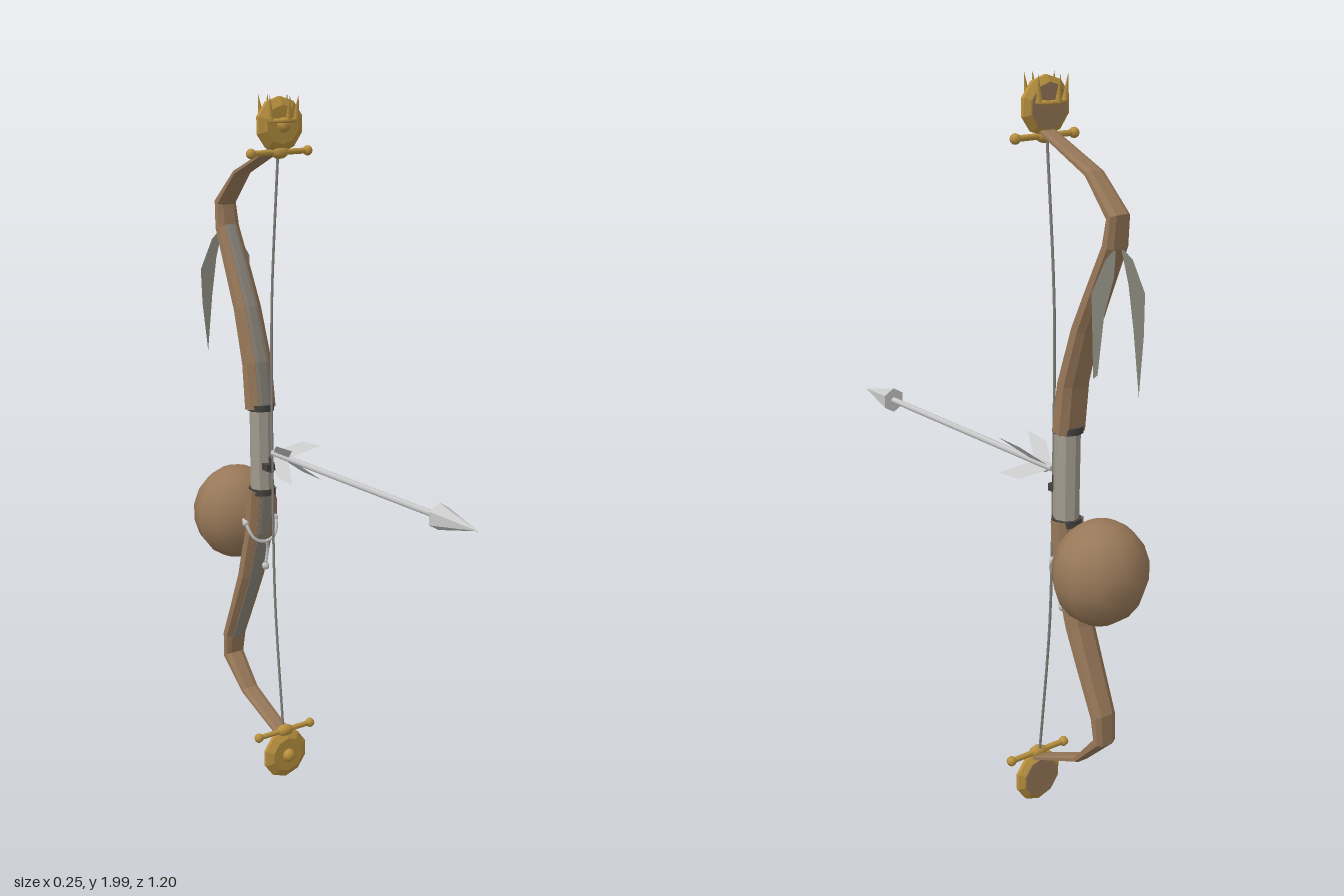
import * as THREE from 'three';

const mat = (name, color) => Object.assign(new THREE.MeshStandardMaterial({ color }), { name });

// Limb stations: y, z, half width, half thickness
const LIMB = [
  [1.12, -0.342, 0.043, 0.028], [1.25, -0.357, 0.042, 0.025], [1.4, -0.402, 0.039, 0.022],
  [1.5, -0.446, 0.037, 0.02], [1.62, -0.5, 0.034, 0.018], [1.69, -0.508, 0.031, 0.016],
  [1.78, -0.42, 0.027, 0.009], [1.86, -0.24, 0.024, 0.006],
];
const mirrorY = (s) => s.map(([y, ...r]) => [2 - y, ...r]).reverse();

// Loft of eight-sided sections along a path in the yz plane, running upward
function loft(stations, widthScale = 1, plate = 0) {
  const ring = [[1, 0.5], [1, -0.5], [0.55, -1], [-0.55, -1], [-1, -0.5], [-1, 0.5], [-0.55, 1], [0.55, 1]];
  const n = ring.length, last = stations.length - 1, pos = [], idx = [];
  stations.forEach(([y, z, w, t], i) => {
    const p = stations[Math.max(0, i - 1)], q = stations[Math.min(last, i + 1)];
    const len = Math.hypot(q[0] - p[0], q[1] - p[1]);
    const ny = -(q[1] - p[1]) / len, nz = (q[0] - p[0]) / len;
    for (const [u, v] of ring) {
      const d = plate ? t + v * plate : v * t;
      pos.push(u * w * widthScale, y + ny * d, z + nz * d);
    }
    if (i === last) return;
    for (let j = 0; j < n; j++) {
      const a = i * n + j, b = i * n + (j + 1) % n;
      idx.push(a, b, b + n, a, b + n, a + n);
    }
  });
  for (let j = 1; j < n - 1; j++) idx.push(0, j + 1, j, last * n, last * n + j, last * n + j + 1);
  const g = new THREE.BufferGeometry();
  g.setAttribute('position', new THREE.Float32BufferAttribute(pos, 3));
  g.setIndex(idx);
  return facet(g);
}

function facet(geometry) {
  const flat = geometry.toNonIndexed();
  flat.computeVertexNormals();
  return flat;
}

const path = (pts) => new THREE.CatmullRomCurve3(pts.map((p) => new THREE.Vector3(...p)));

// Thin flat outline
const blade = (points) => new THREE.ShapeGeometry(new THREE.Shape(points.map((p) => new THREE.Vector2(...p))));

export function createModel() {
  const model = new THREE.Group();
  model.name = 'ornateBow';
  const wood = mat('wood', 0x987859), gold = mat('gold', 0xb9913f), steel = mat('steel', 0xc8c8c8);
  const gripGrey = mat('gripGrey', 0xa39b8e), dark = mat('darkBinding', 0x45423f);
  const inlay = mat('inlay', 0x8a847a), feather = mat('feather', 0xa19f93), cordGrey = mat('stringGrey', 0x85837f);
  feather.side = steel.side = THREE.DoubleSide;

  const add = (name, geo, material, x = 0, y = 0, z = 0, parent = model) => {
    const m = new THREE.Mesh(geo, material);
    m.name = name;
    m.position.set(x, y, z);
    parent.add(m);
    return m;
  };

  // Limbs with a strip let into the front
  add('upperLimb', loft(LIMB), wood);
  add('lowerLimb', loft(mirrorY(LIMB)), wood);
  const strip = LIMB.slice(0, 5);
  add('upperInlay', loft(strip, 0.5, 0.004), inlay);
  add('lowerInlay', loft(mirrorY(strip), 0.5, 0.004), inlay);

  // Grip and its end bindings
  add('grip', facet(new THREE.CylinderGeometry(0.034, 0.034, 0.25, 8)), gripGrey, 0, 1, -0.338);
  for (const y of [0.875, 1.125]) add('gripBinding', new THREE.CylinderGeometry(0.04, 0.04, 0.018, 10), dark, 0, y, -0.34);

  // Bowstring
  add('bowstring', new THREE.TubeGeometry(path([[0, 0.14, -0.24], [0, 0.55, -0.277], [0, 0.8, -0.283],
    [0, 1, -0.284], [0, 1.2, -0.283], [0, 1.45, -0.277], [0, 1.86, -0.24]]), 24, 0.004, 5), cordGrey);
  add('stringServing', new THREE.CylinderGeometry(0.007, 0.007, 0.045, 6), dark, 0, 0.962, -0.29);
  add('arrowRest', new THREE.BoxGeometry(0.035, 0.02, 0.03), dark, 0, 0.955, -0.3);

  // Gold end ornaments: domed disc with a wooden back, boss, crossbar with knobs
  for (const s of [-1, 1]) {
    const end = new THREE.Group();
    end.name = s > 0 ? 'topOrnament' : 'bottomOrnament';
    end.position.set(0, 1 + s * 0.92, -0.234);
    model.add(end);
    add('disc', facet(new THREE.CylinderGeometry(0.052, 0.074, 0.013, 10)), gold, 0, 0, 0.0115, end).rotation.x = Math.PI / 2;
    add('discRim', facet(new THREE.CylinderGeometry(0.074, 0.074, 0.01, 10)), gold, 0, 0, 0, end).rotation.x = Math.PI / 2;
    add('discBack', facet(new THREE.CylinderGeometry(0.074, 0.058, 0.011, 10)), gold, 0, 0, -0.0105, end).rotation.x = Math.PI / 2;
    add('discBackPlate', new THREE.CylinderGeometry(0.057, 0.057, 0.004, 10), wood, 0, 0, -0.0165, end).rotation.x = Math.PI / 2;
    add('boss', new THREE.SphereGeometry(0.02, 8, 6), gold, 0, 0, 0.02, end);
    const bar = add('crossbar', new THREE.CylinderGeometry(0.008, 0.008, 0.18, 8), gold, 0, -s * 0.073, 0, end);
    bar.rotation.z = Math.PI / 2;
    add('crossbarCollar', new THREE.SphereGeometry(0.018, 8, 6), gold, 0, -s * 0.073, 0, end).scale.x = 1.6;
    for (const x of [-0.092, 0.092]) add('knob', new THREE.SphereGeometry(0.014, 8, 6), gold, x, -s * 0.073, 0, end);
  }

  // Crown around the top disc
  const crown = new THREE.Group();
  crown.name = 'crown';
  crown.position.set(0, 1.932, -0.237);
  model.add(crown);
  add('crownBand', new THREE.TorusGeometry(0.046, 0.006, 5, 12), gold, 0, 0, 0, crown).rotation.x = Math.PI / 2;
  for (let i = 0; i < 6; i++) {
    const a = (i / 6) * Math.PI * 2;
    const spike = add('crownSpike', new THREE.ConeGeometry(0.009, 0.068, 5), gold,
      Math.sin(a) * 0.05, 0.034, Math.cos(a) * 0.05, crown);
    spike.rotation.set(Math.cos(a) * 0.12, 0, -Math.sin(a) * 0.12);
  }

  // Arrow with four swept vanes
  const arrow = new THREE.Group();
  arrow.name = 'arrow';
  arrow.position.y = 1;
  model.add(arrow);
  add('shaft', new THREE.CylinderGeometry(0.009, 0.009, 0.74, 8), steel, 0, 0, 0.09, arrow).rotation.x = Math.PI / 2;
  add('arrowHead', facet(new THREE.ConeGeometry(0.036, 0.147, 6)), steel, 0, 0, 0.5265, arrow).rotation.x = Math.PI / 2;
  for (let i = 0; i < 4; i++) {
    const pivot = new THREE.Group();
    pivot.name = 'vanePivot';
    pivot.rotation.z = Math.PI / 4 + (i * Math.PI) / 2;
    arrow.add(pivot);
    add('vane', blade([[0.275, 0.004], [0.2, 0.004], [0.115, 0.07], [0.2, 0.062]]), steel, 0, 0, 0, pivot).rotation.y = Math.PI / 2;
  }

  // Gourd
  add('gourd', new THREE.SphereGeometry(1, 11, 9), wood, 0, 0.777, -0.477).scale.set(0.13, 0.14, 0.122);

  // Metal cord slung across the lower limb, with side knots and a hanging tail
  add('gourdCord', new THREE.TubeGeometry(path([[-0.04, 0.79, -0.39], [-0.052, 0.78, -0.35], [-0.035, 0.735, -0.328],
    [0, 0.722, -0.325], [0.035, 0.735, -0.328], [0.052, 0.78, -0.35], [0.04, 0.79, -0.39]]), 18, 0.005, 5), steel);
  for (const x of [-0.052, 0.052]) add('cordKnot', new THREE.SphereGeometry(0.01, 6, 5), steel, x, 0.78, -0.35);
  add('cordTail', new THREE.TubeGeometry(path([[0.008, 0.722, -0.328], [0.018, 0.69, -0.34], [0.014, 0.64, -0.346]]), 8, 0.005, 5), steel);
  add('tailBead', new THREE.SphereGeometry(0.012, 6, 5), steel, 0.014, 0.637, -0.346);

  // Two feathers hanging behind the upper bend
  const feathers = [
    [[0.01, 1.62], [0.045, 1.595], [0.093, 1.525], [0.104, 1.325], [0.09, 1.33], [0.058, 1.47], [0.022, 1.55]],
    [[-0.005, 1.62], [-0.04, 1.585], [-0.073, 1.5], [-0.062, 1.4], [-0.035, 1.255], [-0.03, 1.42], [-0.022, 1.53]],
  ];
  for (const outline of feathers) {
    const g = blade(outline);
    const p = g.attributes.position;
    for (let i = 0; i < p.count; i++) p.setZ(i, -0.515 - (1.62 - p.getY(i)) * 0.125);
    g.computeVertexNormals();
    add('feather', g, feather);
  }
  return model;
}
